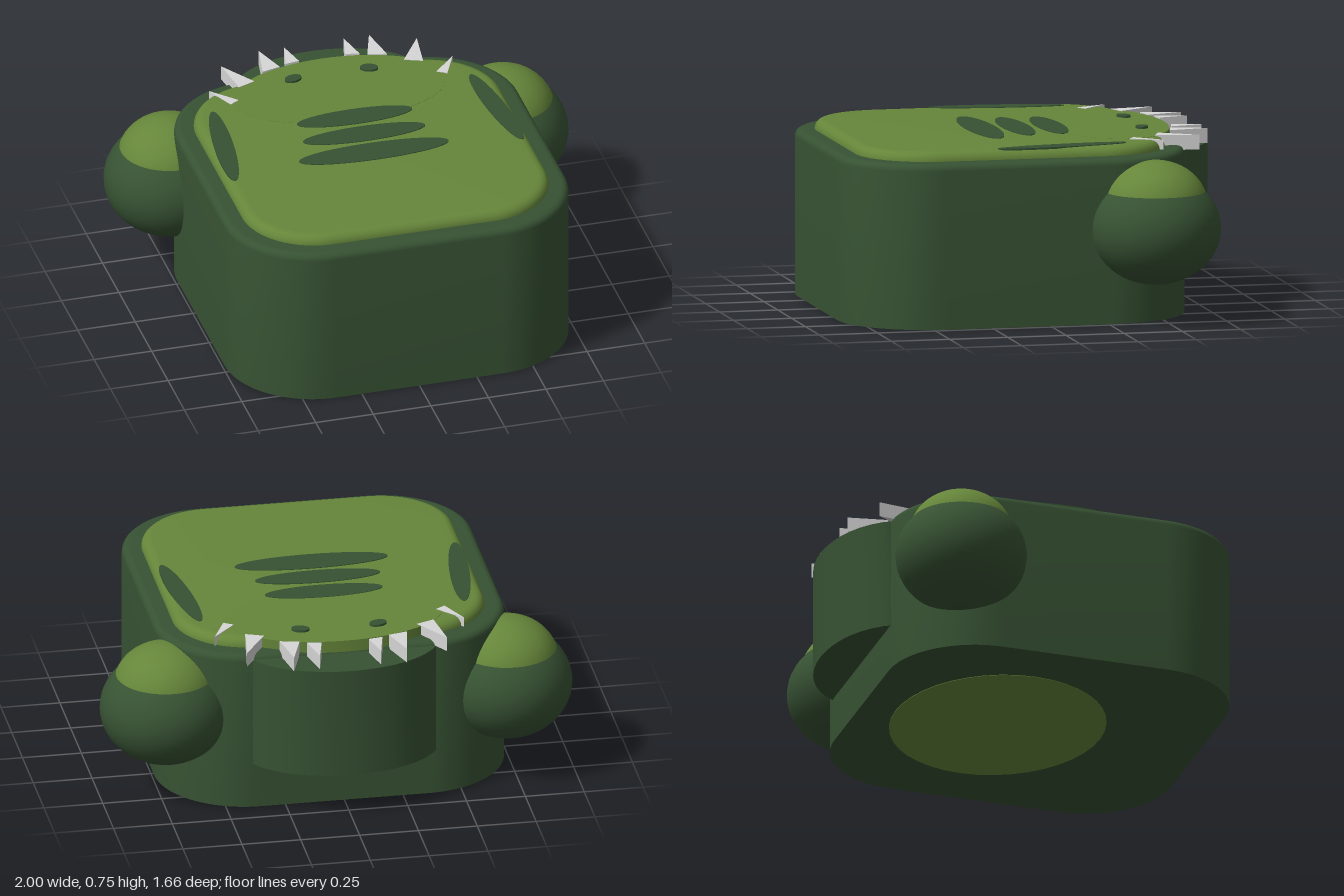
import * as THREE from 'three';
import { toCreasedNormals } from 'three/addons/utils/BufferGeometryUtils.js';

const darkGreen = new THREE.MeshStandardMaterial({ color: 0x375233 });
const oliveGreen = new THREE.MeshStandardMaterial({ color: 0x66863a });
const paleGrey = new THREE.MeshStandardMaterial({ color: 0xd6d6d6 });
darkGreen.name = 'darkGreen';
oliveGreen.name = 'oliveGreen';
paleGrey.name = 'paleGrey';

// Outlines are drawn as (x, -z) and extruded upwards.
function roundedOutline(halfWidth, back, front, r) {
  const s = new THREE.Shape();
  s.moveTo(-halfWidth + r, -front);
  s.lineTo(halfWidth - r, -front);
  s.absarc(halfWidth - r, -front + r, r, -Math.PI / 2, 0);
  s.absarc(halfWidth - r, -back - r, r, 0, Math.PI / 2);
  s.absarc(-halfWidth + r, -back - r, r, Math.PI / 2, Math.PI);
  s.absarc(-halfWidth + r, -front + r, r, Math.PI, Math.PI * 1.5);
  return s;
}

function ellipseOutline(x, z, rx, rz, turn = 0) {
  return new THREE.Shape().absellipse(x, -z, rx, rz, 0, Math.PI * 2, false, turn);
}

// Upright slab between two heights; the bevel rounds the top edge only.
function slab(name, outline, bottom, top, material, bevel = 0, curveSegments = 20) {
  let geo = new THREE.ExtrudeGeometry(outline, {
    depth: top - bottom - bevel,
    bevelEnabled: bevel > 0,
    bevelThickness: bevel,
    bevelSize: bevel,
    bevelOffset: -bevel,
    bevelSegments: 5,
    curveSegments,
  });
  const pos = geo.attributes.position;
  for (let i = 0; i < pos.count; i++) pos.setZ(i, Math.max(0, pos.getZ(i)));
  geo.rotateX(-Math.PI / 2);
  geo.translate(0, bottom, 0);
  geo = toCreasedNormals(geo, 0.6);
  const mesh = new THREE.Mesh(geo, material);
  mesh.name = name;
  return mesh;
}

function ball(name, x, y, z, r, ry, material) {
  const mesh = new THREE.Mesh(new THREE.SphereGeometry(1, 40, 28), material);
  mesh.position.set(x, y, z);
  mesh.scale.set(r, ry, r);
  mesh.name = name;
  return mesh;
}

export function createModel() {
  const model = new THREE.Group();
  model.name = 'animalHead';

  // Block head, raised face and brow
  model.add(slab('head', roundedOutline(0.74, -0.65, 0.83, 0.38), 0.002, 0.70, darkGreen, 0.03));
  model.add(slab('face', roundedOutline(0.66, -0.57, 0.75, 0.31), 0.69, 0.74, oliveGreen, 0.04));
  model.add(slab('brow', ellipseOutline(0, -0.4, 0.46, 0.26), 0.69, 0.741, oliveGreen, 0, 32));
  model.add(slab('basePatch', ellipseOutline(0, -0.05, 0.5, 0.45), 0, 0.004, oliveGreen));

  // Curved block on the back of the head
  const hump = new THREE.Shape();
  hump.moveTo(0.4, 0.55);
  hump.lineTo(0.4, 0.63);
  hump.bezierCurveTo(0.27, 0.897, -0.27, 0.897, -0.4, 0.63);
  hump.lineTo(-0.4, 0.55);
  model.add(slab('backHump', hump, 0.2, 0.68, darkGreen, 0, 16));

  // Three stripes across the face
  for (const [z, rx, rz] of [[-0.165, 0.25, 0.06], [-0.02, 0.265, 0.06], [0.13, 0.325, 0.068]]) {
    model.add(slab('stripe', ellipseOutline(0, z, rx, rz), 0.737, 0.743, darkGreen));
  }

  // Spikes as [x, z] corners: tip, then the two ends of the base
  const spikes = [
    [[0.53, -0.53], [0.47, -0.40], [0.43, -0.425]],
    [[0.425, -0.71], [0.40, -0.525], [0.325, -0.555]],
    [[0.24, -0.79], [0.27, -0.62], [0.19, -0.64]],
    [[0.13, -0.79], [0.16, -0.655], [0.10, -0.665]],
  ];

  for (const side of [1, -1]) {
    const prefix = side > 0 ? 'left' : 'right';
    model.add(ball(prefix + 'Ear', side * 0.725, 0.40, -0.45, 0.275, 0.237, darkGreen));
    model.add(ball(prefix + 'EarTop', side * 0.725, 0.50, -0.45, 0.218, 0.186, oliveGreen));
    model.add(slab(prefix + 'CheekMark', ellipseOutline(side * 0.592, -0.08, 0.042, 0.285, side * 0.11),
      0.735, 0.743, darkGreen));
    model.add(slab(prefix + 'Nostril', ellipseOutline(side * 0.165, -0.525, 0.038, 0.026, side * -0.3),
      0.742, 0.751, darkGreen));
    for (const corners of spikes) {
      const outline = new THREE.Shape(corners.map(([x, z]) => new THREE.Vector2(side * x, -z)));
      model.add(slab(prefix + 'Spike', outline, 0.68, 0.743, paleGrey));
    }
  }
  return model;
}
